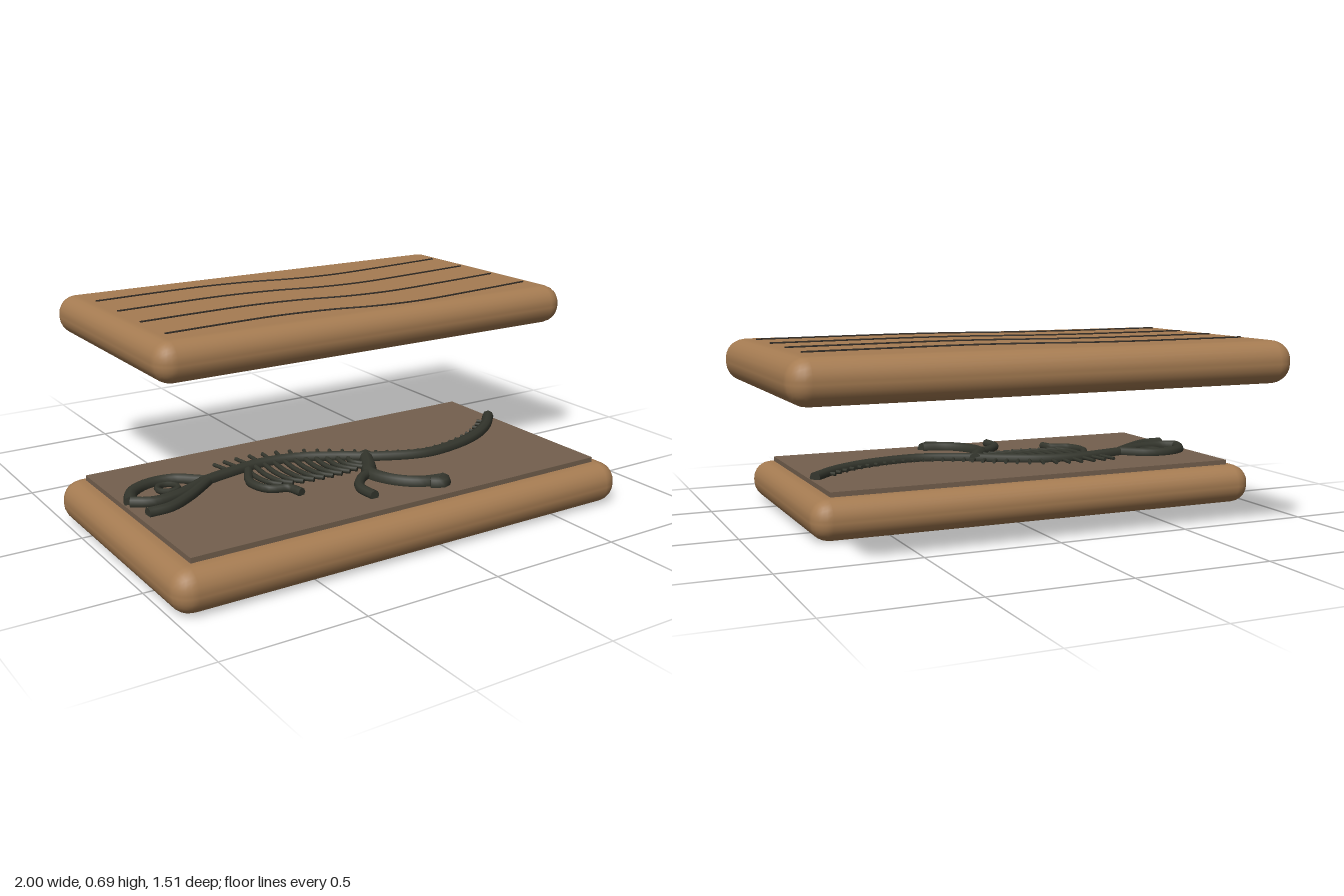
import * as THREE from 'three';
import { RoundedBoxGeometry } from 'three/addons/geometries/RoundedBoxGeometry.js';

const material = (name, color) => {
  const m = new THREE.MeshStandardMaterial({ color });
  m.name = name;
  return m;
};

export function createModel() {
  const sandstone = material('sandstone', 0xa67c52);
  const bed = material('darkBed', 0x74604e);
  const bone = material('fossilBone', 0x34362d);
  const crack = material('groove', 0x2e2822);
  const model = new THREE.Group();
  model.name = 'splitFossilSlab';

  const group = (name) => {
    const g = new THREE.Group();
    g.name = name;
    model.add(g);
    return g;
  };
  const add = (parent, name, geometry, mat, x = 0, y = 0, z = 0) => {
    const m = new THREE.Mesh(geometry, mat);
    m.name = name;
    m.position.set(x, y, z);
    parent.add(m);
    return m;
  };
  const curveOf = (points, y) =>
    new THREE.CatmullRomCurve3(points.map(([x, z]) => new THREE.Vector3(x, y, z)));

  // Round bar along a path of [x, z] points, with flat capped ends
  const bar = (parent, name, points, radius, y, mat = bone, segments = 16) => {
    const curve = curveOf(points, y);
    add(parent, name, new THREE.TubeGeometry(curve, segments, radius, 8), mat);
    for (const t of [0, 1]) {
      const p = curve.getPointAt(t);
      const out = curve.getTangentAt(t).multiplyScalar(t ? 1 : -1);
      const cap = add(parent, name + 'End', new THREE.CircleGeometry(radius, 8), mat, p.x, p.y, p.z);
      cap.lookAt(p.clone().add(out));
    }
  };

  // Stone halves and the exposed bed
  add(model, 'lowerSlab', new RoundedBoxGeometry(1.79, 0.15, 0.97, 3, 0.07), sandstone, -0.105, 0.075, 0.27);
  add(model, 'upperSlab', new RoundedBoxGeometry(1.775, 0.15, 0.955, 3, 0.07), sandstone, 0.112, 0.613, -0.282);
  add(model, 'fossilBed', new THREE.BoxGeometry(1.63, 0.03, 0.82), bed, -0.105, 0.153, 0.27);

  // Wavy grooves on the upper slab
  const grooves = group('grooves');
  for (let i = 0; i < 4; i++) {
    const z = -0.545 + i * 0.2;
    bar(grooves, 'groove', [[-0.685, z], [-0.45, z - 0.016], [-0.23, z - 0.024], [-0.02, z - 0.005],
      [0.15, z + 0.032], [0.34, z + 0.046], [0.6, z + 0.022], [0.91, z - 0.016]], 0.005, 0.688, crack, 40);
  }

  // Spine and tail
  const spinePoints = [[-0.62, 0.16], [-0.5, 0.13], [-0.36, 0.105], [-0.22, 0.125], [-0.09, 0.19],
    [0.04, 0.275], [0.2, 0.335], [0.34, 0.325], [0.48, 0.28], [0.6, 0.205], [0.695, 0.11]];
  const skeleton = group('skeleton');
  const spine = curveOf(spinePoints, 0.176);
  bar(skeleton, 'spine', spinePoints, 0.022, 0.176, bone, 60);

  // Short spines along the back and tail
  for (let i = 0; i < 29; i++) {
    const t = 0.1 + i * 0.03;
    const p = spine.getPointAt(t);
    const d = spine.getTangentAt(t);
    const length = 0.1 - 0.06 * Math.min(1, i / 18);
    bar(skeleton, 'backSpine', [[p.x, p.z], [p.x + d.z * length, p.z - d.x * length]], 0.007, 0.177, bone, 1);
  }

  // Ribs
  for (let i = 0; i < 11; i++) {
    const t = 0.14 + i * 0.027;
    const p = spine.getPointAt(t);
    const bottom = 0.31 + 0.04 * Math.sin((Math.PI * (i + 2)) / 14);
    bar(skeleton, 'rib', [[p.x, p.z], [p.x - 0.012, (p.z + bottom) / 2],
      [p.x + 0.002, bottom - 0.035], [p.x + 0.028, bottom]], 0.009, 0.177, bone, 8);
  }

  // Skull, eye ring and lower jaw
  const skull = group('skull');
  bar(skull, 'skullTop', [[-0.9, 0.2], [-0.86, 0.12], [-0.78, 0.075], [-0.69, 0.08], [-0.6, 0.155]], 0.022, 0.176);
  bar(skull, 'upperJaw', [[-0.9, 0.2], [-0.84, 0.235], [-0.74, 0.225], [-0.6, 0.155]], 0.022, 0.176);
  bar(skull, 'lowerJaw', [[-0.89, 0.315], [-0.81, 0.31], [-0.72, 0.26], [-0.6, 0.165]], 0.02, 0.177);
  const eye = add(skull, 'eyeRing', new THREE.TorusGeometry(0.036, 0.011, 6, 16), bone, -0.74, 0.177, 0.145);
  eye.rotation.x = Math.PI / 2;

  // Front and hind limbs
  const limbs = group('limbs');
  bar(limbs, 'frontLeg', [[-0.43, 0.15], [-0.48, 0.26], [-0.455, 0.345], [-0.395, 0.37], [-0.38, 0.43]], 0.016, 0.178);
  bar(limbs, 'hindLeg', [[0.01, 0.235], [-0.04, 0.33], [-0.08, 0.4], [-0.055, 0.49], [0.01, 0.56], [0.1, 0.585]], 0.027, 0.173, bone, 24);
  bar(limbs, 'hindFoot', [[0.04, 0.585], [0.075, 0.605], [0.1, 0.58]], 0.028, 0.172, bone, 8);
  bar(limbs, 'farHindLeg', [[-0.07, 0.39], [-0.14, 0.43], [-0.19, 0.5], [-0.19, 0.585]], 0.018, 0.178);

  return model;
}
